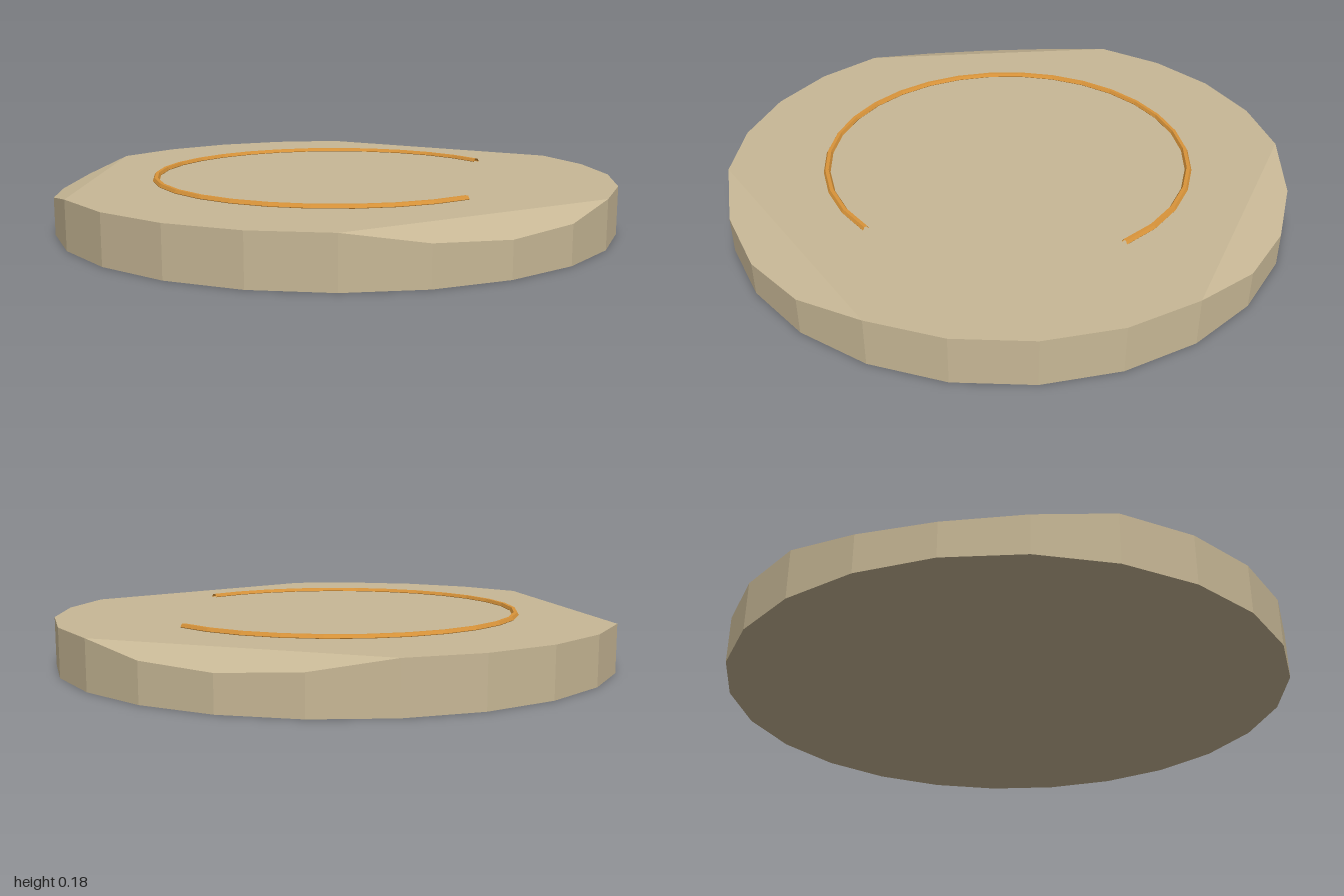
import * as THREE from 'three';

const SIDES = 24, HEIGHT = 0.168, CHORD = Math.cos(Math.PI / 6), DROP = 0.05;

// Rim point i; every third of the rim has a sloped cut spanning two points each way
function rimPoint(i, top) {
  const a = (i / SIDES) * Math.PI * 2;
  const offset = ((i + 4 + SIDES) % 8) - 4; // steps from the nearest cut centre
  const past = Math.max(0, Math.cos((offset / SIDES) * Math.PI * 2) - CHORD);
  const y = top ? HEIGHT - (DROP * past) / (1 - CHORD) : 0;
  return [Math.sin(a), y, Math.cos(a)];
}

function makeDisc() {
  const positions = [];
  const fan = (pts) => {
    for (let i = 1; i < pts.length - 1; i++) positions.push(...pts[0], ...pts[i], ...pts[i + 1]);
  };
  const ids = Array.from({ length: SIDES }, (_, i) => i);

  // side wall
  for (const i of ids) fan([rimPoint(i), rimPoint(i + 1), rimPoint(i + 1, true), rimPoint(i, true)]);
  // underside
  fan(ids.map((i) => rimPoint(i)).reverse());
  // flat top, leaving out the points that belong to the cuts
  fan(ids.filter((i) => ![0, 1, 7].includes(i % 8)).map((i) => rimPoint(i, true)));
  // three sloped cuts
  for (const c of [0, 8, 16]) fan([-2, -1, 0, 1, 2].map((k) => rimPoint(c + k, true)));

  const geometry = new THREE.BufferGeometry();
  geometry.setAttribute('position', new THREE.Float32BufferAttribute(positions, 3));
  geometry.computeVertexNormals();
  return geometry;
}

export function createModel() {
  const group = new THREE.Group();
  group.name = 'stoneDisc';

  const disc = new THREE.Mesh(
    makeDisc(),
    new THREE.MeshStandardMaterial({ color: 0xc8b896, flatShading: true })
  );
  disc.name = 'disc';
  group.add(disc);

  // open ring inlaid in the top
  const ring = new THREE.Mesh(
    new THREE.TorusGeometry(0.65, 0.012, 6, 24, 4.88),
    new THREE.MeshStandardMaterial({ color: 0xd9943a, flatShading: true, side: THREE.DoubleSide })
  );
  ring.name = 'openRing';
  ring.rotation.x = -Math.PI / 2;
  ring.position.y = 0.17;
  group.add(ring);

  return group;
}
